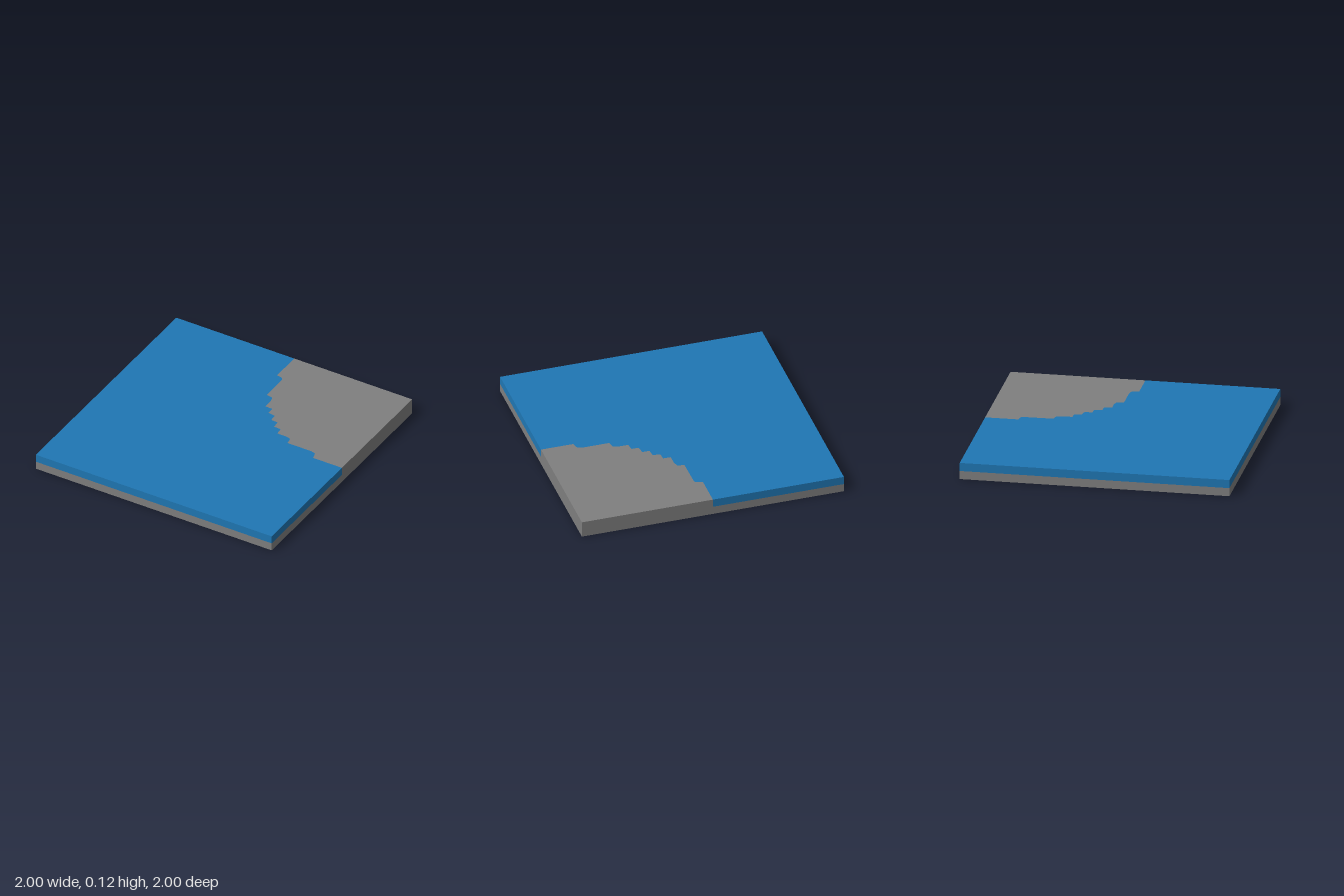
import * as THREE from 'three';

const BASE = 0.0625; // thickness of each of the two layers

// Stepped shoreline as [x, z], from the back edge to the right edge
const SHORE = [
  [0, -1], [0, -0.755], [0.05, -0.745], [0.06, -0.725], [0.0625, -0.505], [0.115, -0.495],
  [0.127, -0.45], [0.127, -0.377], [0.185, -0.375], [0.1875, -0.32], [0.245, -0.31],
  [0.25, -0.252], [0.305, -0.25], [0.3125, -0.19], [0.368, -0.1875], [0.375, -0.13],
  [0.45, -0.13], [0.49, -0.12], [0.5, -0.065], [0.7, -0.065], [0.74, -0.055],
  [0.755, 0], [1, 0],
];

// Flat layer from an outline of [x, z] points, resting on the base
function layer(name, outline, material) {
  const shape = new THREE.Shape(outline.map(([x, z]) => new THREE.Vector2(x, -z)));
  const geometry = new THREE.ExtrudeGeometry(shape, { depth: BASE, bevelEnabled: false });
  geometry.rotateX(-Math.PI / 2).translate(0, BASE, 0);
  const mesh = new THREE.Mesh(geometry, material);
  mesh.name = name;
  return mesh;
}

export function createModel() {
  const water = new THREE.MeshStandardMaterial({ color: 0x1f77b4 });
  water.name = 'water blue';
  const stone = new THREE.MeshStandardMaterial({ color: 0x7f7f7f });
  stone.name = 'stone grey';

  const model = new THREE.Group();
  model.name = 'shoreCornerTile';

  // Square base under everything
  const base = new THREE.Mesh(new THREE.BoxGeometry(2, BASE, 2), stone);
  base.name = 'base';
  base.position.y = BASE / 2;
  model.add(base);

  // Water wraps round the raised ground in the back corner
  model.add(layer('water', [...SHORE, [1, 1], [-1, 1], [-1, -1]], water));
  model.add(layer('ground', [...SHORE, [1, -1]], stone));
  return model;
}
